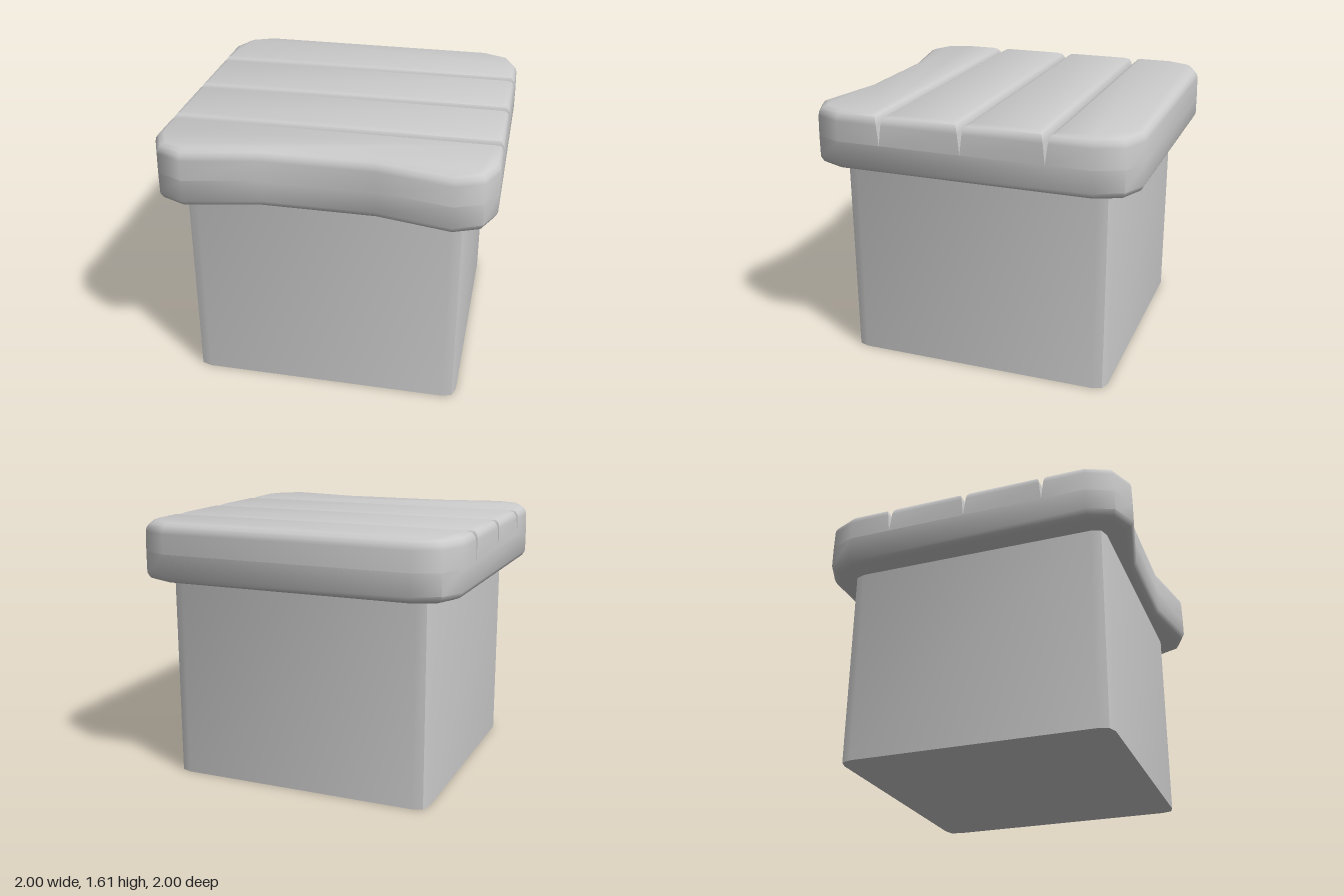
import * as THREE from 'three';
import { toCreasedNormals } from 'three/addons/utils/BufferGeometryUtils.js';

const material = new THREE.MeshStandardMaterial({ color: 0xcccccc });

const isGroove = (a, b) => a[1] === b[1] && Math.abs(a[1]) < 0.6;

// Moves each edge of an [x, z] outline inwards; groove edges have their own distance.
function inset(outline, outer, groove) {
  const n = outline.length;
  const edges = outline.map((a, i) => {
    const b = outline[(i + 1) % n];
    const dx = b[0] - a[0], dz = b[1] - a[1], len = Math.hypot(dx, dz);
    const nx = dz / len, nz = -dx / len;
    const d = isGroove(a, b) ? groove : outer;
    return { nx, nz, c: nx * a[0] + nz * a[1] - d };
  });
  return edges.map((e, i) => {
    const p = edges[(i + n - 1) % n];
    const det = p.nx * e.nz - p.nz * e.nx;
    return [(p.c * e.nz - e.c * p.nz) / det, (p.nx * e.c - e.nx * p.c) / det];
  });
}

// Skins an outline through levels of [y, outer inset, groove inset], capped where asked.
function layeredSolid(name, outline, levels, capBottom, capTop) {
  const n = outline.length, positions = [], index = [];
  const rings = levels.map(([y, o, g = o]) => {
    const ring = inset(outline, o, g);
    ring.forEach(([x, z]) => positions.push(x, y, z));
    return ring;
  });
  for (let j = 0; j < rings.length - 1; j++) {
    for (let i = 0; i < n; i++) {
      const a = j * n + i, b = j * n + (i + 1) % n;
      index.push(a, a + n, b, b, a + n, b + n);
    }
  }
  const cap = (j, up) => {
    const pts = rings[j].map(([x, z]) => new THREE.Vector2(x, z));
    for (const [a, b, c] of THREE.ShapeUtils.triangulateShape(pts, [])) {
      const facesDown = THREE.ShapeUtils.area([pts[a], pts[b], pts[c]]) > 0;
      const tri = facesDown === up ? [a, c, b] : [a, b, c];
      index.push(...tri.map((k) => j * n + k));
    }
  };
  if (capBottom) cap(0, false);
  if (capTop) cap(rings.length - 1, true);

  const geometry = new THREE.BufferGeometry();
  geometry.setAttribute('position', new THREE.Float32BufferAttribute(positions, 3));
  geometry.setIndex(index);
  const mesh = new THREE.Mesh(toCreasedNormals(geometry, THREE.MathUtils.degToRad(50)), material);
  mesh.name = name;
  return mesh;
}

// Completes a right-hand half outline with its mirror image across x = 0.
const mirrorX = (half) => [...half, ...half.map(([x, z]) => [-x, z]).reverse()];

export function createModel() {
  const group = new THREE.Group();
  group.name = 'stool';

  // Square pedestal with softened vertical corners
  const pedestalOutline = mirrorX([
    [0.75, -0.83], [0.81, -0.81], [0.83, -0.75],
    [0.83, 0.75], [0.81, 0.81], [0.75, 0.83],
  ]);
  group.add(layeredSolid('pedestal', pedestalOutline, [[0, 0], [1.27, 0]], true, true));

  // Corner runs of the seat; the front edge dips inwards
  const back = [[0.77, -1], [0.93, -0.93], [1, -0.77]];
  const front = [[1, 0.77], [0.93, 0.93], [0.77, 1], [0.33, 0.91]];

  // Lower seat, rounded underneath and left open where the slats sit
  group.add(layeredSolid('seatBase', mirrorX([...back, ...front]),
    [[1.255, 0.05], [1.268, 0.018], [1.3, 0], [1.43, 0]], true, false));

  // Four slats with rounded tops, separated by narrow grooves
  const slatLevels = [
    [1.43, 0, 0], [1.55, 0.003, 0.014], [1.575, 0.008, 0.019],
    [1.597, 0.025, 0.031], [1.61, 0.055, 0.055],
  ];
  const slats = {
    backSlat: [...back, [1, -0.5]],
    middleBackSlat: [[1, -0.5], [1, 0]],
    middleFrontSlat: [[1, 0], [1, 0.5]],
    frontSlat: [[1, 0.5], ...front],
  };
  for (const [name, half] of Object.entries(slats)) {
    group.add(layeredSolid(name, mirrorX(half), slatLevels, false, true));
  }
  return group;
}
